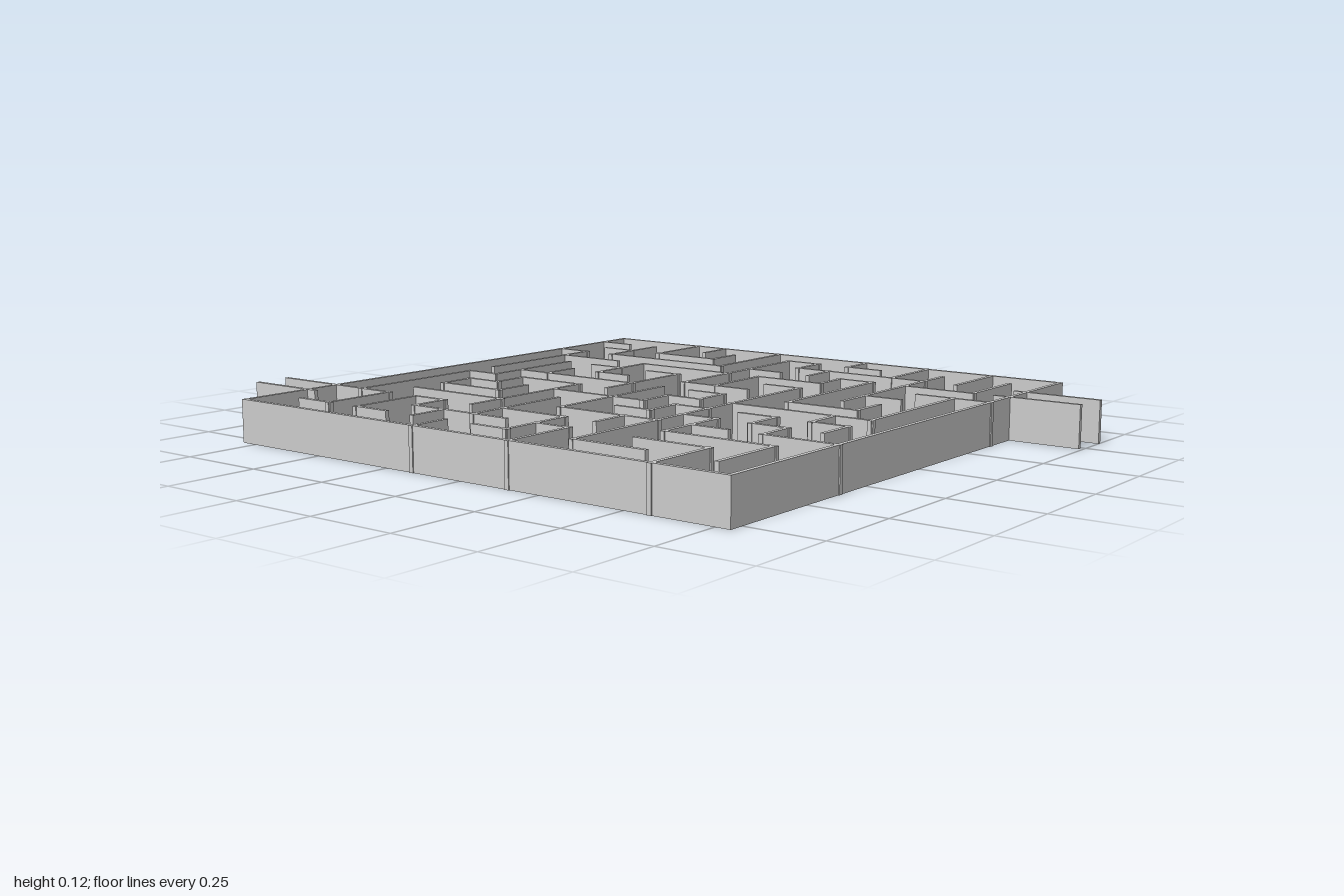
import * as THREE from 'three';

const PITCH_X = 0.105, PITCH_Z = 0.1054, X0 = -0.79, Z0 = -0.794;
const HEIGHT = 0.117, THICK = 0.012;
const gx = (i) => X0 + PITCH_X * i;
const gz = (j) => Z0 + PITCH_Z * j;

// Walls along x: one list per grid row, each entry [from column, to column]
const ROWS = [
  [],
  [[0, 1], [7, 8], [9, 10]],
  [[1, 2], [3, 5], [8, 12]],
  [[0, 1], [2, 6], [7, 8], [10, 11], [12, 14]],
  [[1, 3], [4, 7], [8, 10], [13, 15]],
  [[3, 4], [5, 6], [9, 10], [12, 13]],
  [[4, 5], [7, 9]],
  [[2, 6], [8, 9], [11, 13]],
  [[1, 2], [3, 5], [8, 9], [10, 14]],
  [[2, 3], [5, 8], [9, 10], [11, 12], [13, 14]],
  [[2, 4], [8, 9], [10, 11], [12, 13]],
  [[2, 5], [7, 10], [11, 12], [13, 15]],
  [[0, 2], [3, 4], [6, 8], [11, 14]],
  [[4, 7], [8, 9], [11, 13]],
  [[1, 2], [3, 4], [7, 8], [10, 12]],
];

// Walls along z: one list per grid column, each entry [from row, to row]
const COLUMNS = [
  [],
  [[3, 7], [8, 12]],
  [[1, 3], [5, 8], [9, 10], [12, 14]],
  [[0, 2], [6, 7], [8, 9], [12, 14]],
  [[0, 1], [4, 6], [9, 10], [12, 13]],
  [[1, 2], [8, 12], [13, 14]],
  [[0, 3], [5, 8], [10, 13], [14, 15]],
  [[1, 6], [7, 11]],
  [[1, 2], [4, 6], [8, 9], [12, 14]],
  [[0, 1], [2, 3], [7, 8], [9, 10], [11, 12], [13, 15]],
  [[3, 4], [5, 14]],
  [[0, 2], [3, 7], [10, 12]],
  [[1, 6], [9, 10]],
  [[0, 2], [6, 7], [8, 9], [10, 11], [13, 15]],
  [[1, 3], [4, 8], [9, 10], [12, 14]],
];

export function createModel() {
  const model = new THREE.Group();
  model.name = 'maze';
  const material = new THREE.MeshStandardMaterial({ color: 0xcccccc });

  // Upright wall standing on the ground between two points on one axis
  const wall = (name, parent, xa, xb, za, zb, pad = THICK / 2) => {
    const alongX = xb - xa > zb - za;
    const length = Math.max(xb - xa, zb - za) + pad * 2;
    const mesh = new THREE.Mesh(
      new THREE.BoxGeometry(alongX ? length : THICK, HEIGHT, alongX ? THICK : length),
      material
    );
    mesh.position.set((xa + xb) / 2, HEIGHT / 2, (za + zb) / 2);
    mesh.name = name;
    parent.add(mesh);
  };
  const group = (name) => {
    const g = new THREE.Group();
    g.name = name;
    model.add(g);
    return g;
  };

  // Outer frame
  const frame = group('outerWalls');
  wall('backWall', frame, gx(0), gx(15), gz(0), gz(0));
  wall('frontWall', frame, gx(0), gx(15), gz(15), gz(15));
  wall('rightWall', frame, gx(0), gx(0), gz(0), gz(15));
  wall('leftWall', frame, gx(15), gx(15), gz(0), gz(15));

  // Inner maze; ends run slightly past the grid so they show through the frame
  const inner = group('innerWalls');
  ROWS.forEach((spans, j) => spans.forEach(([a, b]) =>
    wall('crossWall', inner, gx(a), gx(b), gz(j), gz(j), 0.009)));
  COLUMNS.forEach((spans, i) => spans.forEach(([a, b]) =>
    wall('lengthWall', inner, gx(i), gx(i), gz(a), gz(b), 0.009)));

  // Entrance and exit passages
  const passages = group('passages');
  wall('entranceWall', passages, -1, gx(0), gz(12), gz(12), 0);
  wall('entranceWall', passages, -1, -0.755, 0.574, 0.574, 0);
  wall('exitWall', passages, 0.75, 1, -0.584, -0.584, 0);
  wall('exitWall', passages, 0.74, 0.99, -0.484, -0.484, 0);

  // Ball waiting in the entrance
  const ball = new THREE.Mesh(new THREE.SphereGeometry(0.033, 32, 20), material);
  ball.position.set(-0.847, 0.035, 0.535);
  ball.name = 'ball';
  model.add(ball);

  return model;
}
